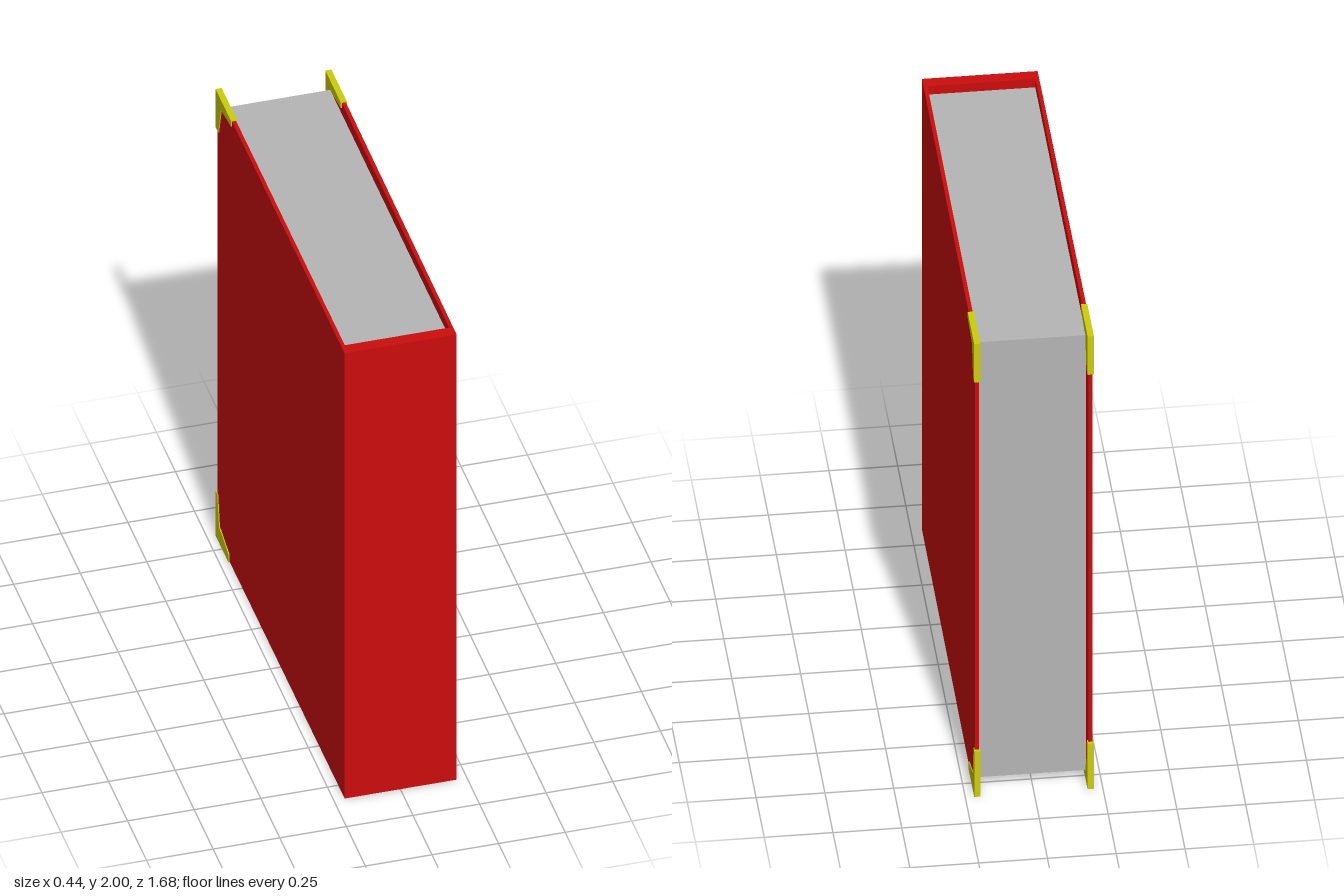
import * as THREE from 'three';

const mat = (name, color) => {
  const m = new THREE.MeshStandardMaterial({ color });
  m.name = name;
  return m;
};

const shapeOf = (pts) => new THREE.Shape(pts.map(([x, y]) => new THREE.Vector2(x, y)));
const extrude = (pts, depth) =>
  new THREE.ExtrudeGeometry(shapeOf(pts), { depth, bevelEnabled: false });

export function createModel() {
  const red = mat('red cover', 0xcc0d0d);
  const yellow = mat('yellow metal', 0xcccc0d);
  const grey = mat('grey paper', 0xb5b5b5);

  const book = new THREE.Group();
  book.name = 'book';
  const add = (name, geometry, material) => {
    const mesh = new THREE.Mesh(geometry, material);
    mesh.name = name;
    book.add(mesh);
    return mesh;
  };

  // Spine and two slightly flaring boards, one U-shaped plan (x, -z) raised upward
  const plan = [
    [-0.21, -0.838], [0.21, -0.838], [0.214, 0.825], [0.199, 0.825],
    [0.196, -0.79], [-0.196, -0.79], [-0.199, 0.825], [-0.214, 0.825],
  ];
  const cover = extrude(plan, 1.994);
  cover.rotateX(-Math.PI / 2).translate(0, 0.003, 0);
  add('cover', cover, red);

  // Page block, recessed at top, bottom and fore edge
  add('pages', new THREE.BoxGeometry(0.39, 1.922, 1.56), grey)
    .position.set(-0.001, 0.999, 0.01);

  // Corner guards wrapping both faces of each board, outlines in (-z, y)
  const outlines = {
    top: [[0.633, 2], [0.633, 1.975], [0.766, 1.955], [0.8, 1.83], [0.836, 1.83], [0.836, 2]],
    bottom: [[0.665, 0], [0.838, 0], [0.838, 0.2], [0.813, 0.2], [0.79, 0.072], [0.665, 0.035]],
  };
  for (const [place, pts] of Object.entries(outlines)) {
    for (const [side, centre] of [['Left', 0.206], ['Right', -0.206]]) {
      const guard = extrude(pts, 0.023);
      guard.rotateY(Math.PI / 2).translate(centre - 0.0115, 0, 0);
      add(`${place}${side}CornerGuard`, guard, yellow);
    }
  }
  return book;
}
